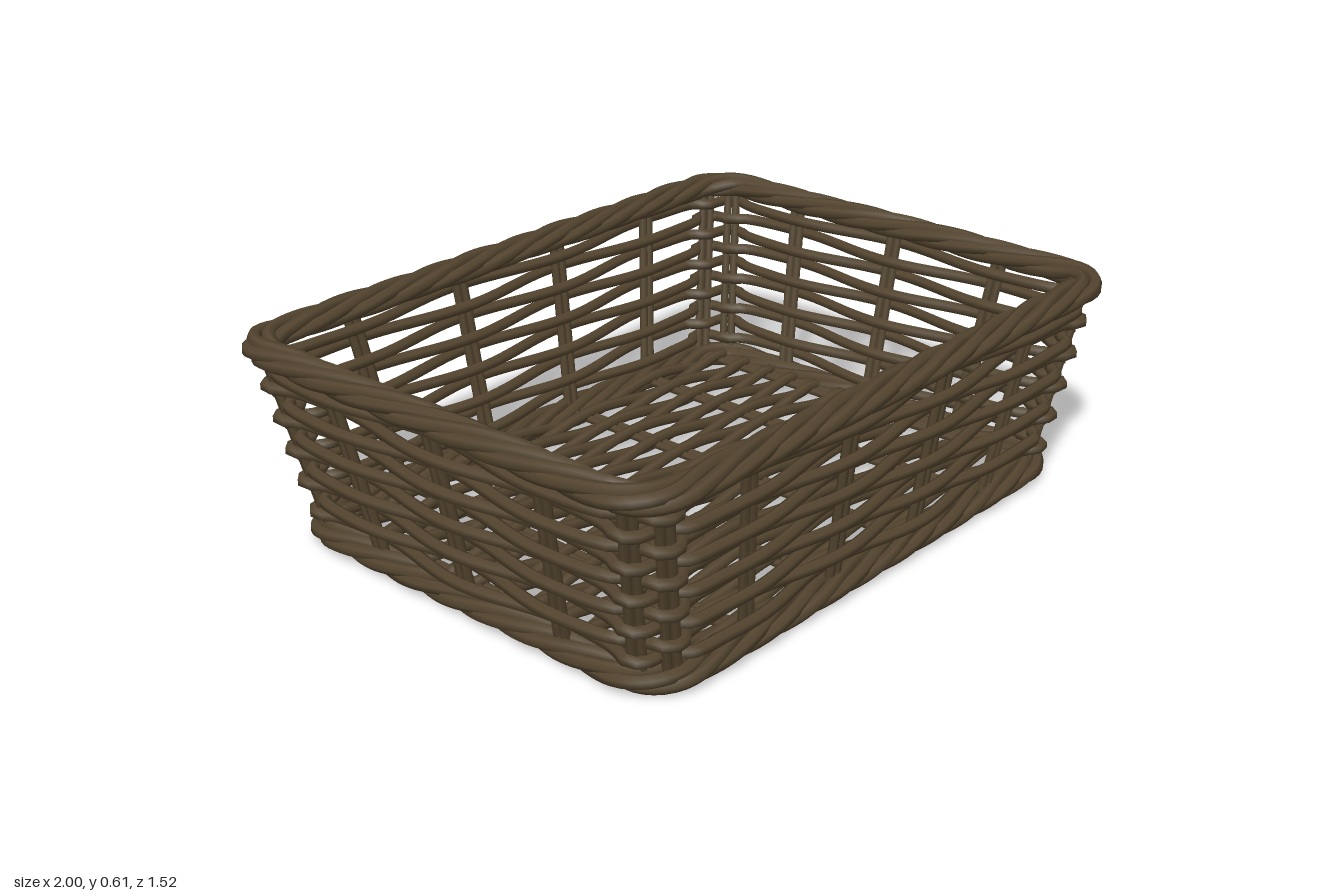
import * as THREE from 'three';

const CORNER = 0.12;
const CORNERS = [[1, 1], [1, -1], [-1, -1], [-1, 1]];
const Y_BASE = 0.04, Y_RIM = 0.575;

// Point and outward direction on the flared rounded-rectangle wall.
// t runs 0..8: even units are the straight sides, odd units the corners.
function wallPoint(t, y) {
  const k = (y - Y_BASE) / (Y_RIM - Y_BASE);
  const hx = 0.835 + 0.112 * k - CORNER, hz = 0.635 + 0.075 * k - CORNER;
  t = ((t % 8) + 8) % 8;
  const side = Math.floor(t / 2), f = t - side * 2;
  const a = (side + Math.max(0, f - 1)) * Math.PI / 2;
  const n = new THREE.Vector3(Math.sin(a), 0, Math.cos(a));
  const from = CORNERS[(side + 3) % 4], to = CORNERS[side], g = Math.min(f, 1);
  const p = new THREE.Vector3(
    hx * THREE.MathUtils.lerp(from[0], to[0], g), y,
    hz * THREE.MathUtils.lerp(from[1], to[1], g)).addScaledVector(n, CORNER);
  return { p, n };
}

// Even spacing round the perimeter: fraction 0..1 to t
const LENGTHS = [1.5, 0.19, 1.08, 0.19, 1.5, 0.19, 1.08, 0.19];
const PERIMETER = LENGTHS.reduce((a, b) => a + b);
function evenT(f) {
  let d = f * PERIMETER, i = 0;
  while (i < 7 && d > LENGTHS[i]) d -= LENGTHS[i++];
  return i + d / LENGTHS[i];
}

// Stake positions: four on each long side, three on each short side, two per corner
const STAKES = [];
for (let s = 0; s < 4; s++) {
  const along = s % 2 === 0 ? [0.14, 0.38, 0.62, 0.86] : [0.18, 0.5, 0.82];
  [...along, 1.28, 1.72].forEach((f) => STAKES.push(s * 2 + f));
}

export function createModel() {
  const basket = new THREE.Group();
  basket.name = 'wickerBasket';
  const wicker = new THREE.MeshStandardMaterial({ color: 0x54452f, side: THREE.DoubleSide });
  wicker.name = 'dark brown wicker';

  function part(name) {
    const g = new THREE.Group();
    g.name = name;
    basket.add(g);
    return g;
  }
  function rod(parent, name, points, radius, segments, closed = false) {
    const curve = new THREE.CatmullRomCurve3(points, closed);
    const mesh = new THREE.Mesh(new THREE.TubeGeometry(curve, segments, radius, 6, closed), wicker);
    mesh.name = name;
    parent.add(mesh);
  }

  // Twisted rope borders at the rim and the foot
  function braid(name, y, turns) {
    const group = part(name), strands = 5, count = 160;
    for (let s = 0; s < strands; s++) {
      const pts = [];
      for (let i = 0; i < count; i++) {
        const f = i / count;
        const a = 2 * Math.PI * (f * turns + s / strands);
        const { p, n } = wallPoint(evenT(f), y);
        p.addScaledVector(n, 0.033 * Math.cos(a));
        p.y += 0.019 * Math.sin(a);
        pts.push(p);
      }
      rod(group, 'braidStrand', pts, 0.019, 240, true);
    }
  }
  braid('rimBraid', Y_RIM, 8);
  braid('footBraid', Y_BASE, 8);

  // Paired upright stakes
  const stakes = part('stakes');
  for (const t of STAKES) {
    const lo = wallPoint(t, 0.03), hi = wallPoint(t, 0.58);
    const along = new THREE.Vector3(lo.n.z, 0, -lo.n.x);
    for (const d of [-0.013, 0.013]) {
      rod(stakes, 'stake', [lo.p.clone().addScaledVector(along, d),
        hi.p.clone().addScaledVector(along, d)], 0.013, 2);
    }
  }

  // Horizontal rods woven in front of and behind alternate stakes
  const weavers = part('wallWeavers');
  const ROWS = 10, STEPS = 6;
  for (let r = 0; r < ROWS; r++) {
    const y = 0.098 + r * 0.0435 + 0.035 * (r / ROWS), pts = [];
    STAKES.forEach((t, i) => {
      const next = i + 1 < STAKES.length ? STAKES[i + 1] : STAKES[0] + 8;
      for (let k = 0; k < STEPS; k++) {
        const u = k / STEPS;
        const { p, n } = wallPoint(t + (next - t) * u, y);
        pts.push(p.addScaledVector(n, 0.024 * Math.cos(Math.PI * (i + u + r))));
      }
    });
    rod(weavers, 'wallWeaver', pts, 0.0175, 200, true);
  }

  // Floor: paired ribs running front to back
  const RIBS = [-0.78, -0.5, -0.165, 0.165, 0.5, 0.78], FLOOR_Y = 0.04;
  const ribs = part('floorRibs');
  for (const x of RIBS) {
    for (const d of [-0.013, 0.013]) {
      rod(ribs, 'floorRib', [new THREE.Vector3(x + d, FLOOR_Y, -0.63),
        new THREE.Vector3(x + d, FLOOR_Y, 0.63)], 0.013, 2);
    }
  }

  // Floor rods woven over and under the ribs, each slightly bowed
  const floor = part('floorWeavers');
  const COUNT = 26;
  for (let r = 0; r < COUNT; r++) {
    const z = -0.595 + 1.19 * r / (COUNT - 1), pts = [new THREE.Vector3(-0.82, FLOOR_Y, z)];
    for (let i = 0; i < RIBS.length; i++) {
      const last = i === RIBS.length - 1;
      for (let k = 0; k < (last ? 1 : 5); k++) {
        const u = k / 5, x = last ? RIBS[i] : THREE.MathUtils.lerp(RIBS[i], RIBS[i + 1], u);
        pts.push(new THREE.Vector3(x, FLOOR_Y + 0.019 * Math.cos(Math.PI * (i + u + r)),
          z + 0.005 * Math.sin(x * 4 + r * 2.3)));
      }
    }
    pts.push(new THREE.Vector3(0.82, FLOOR_Y, z));
    rod(floor, 'floorWeaver', pts, 0.0165, 44);
  }
  return basket;
}
